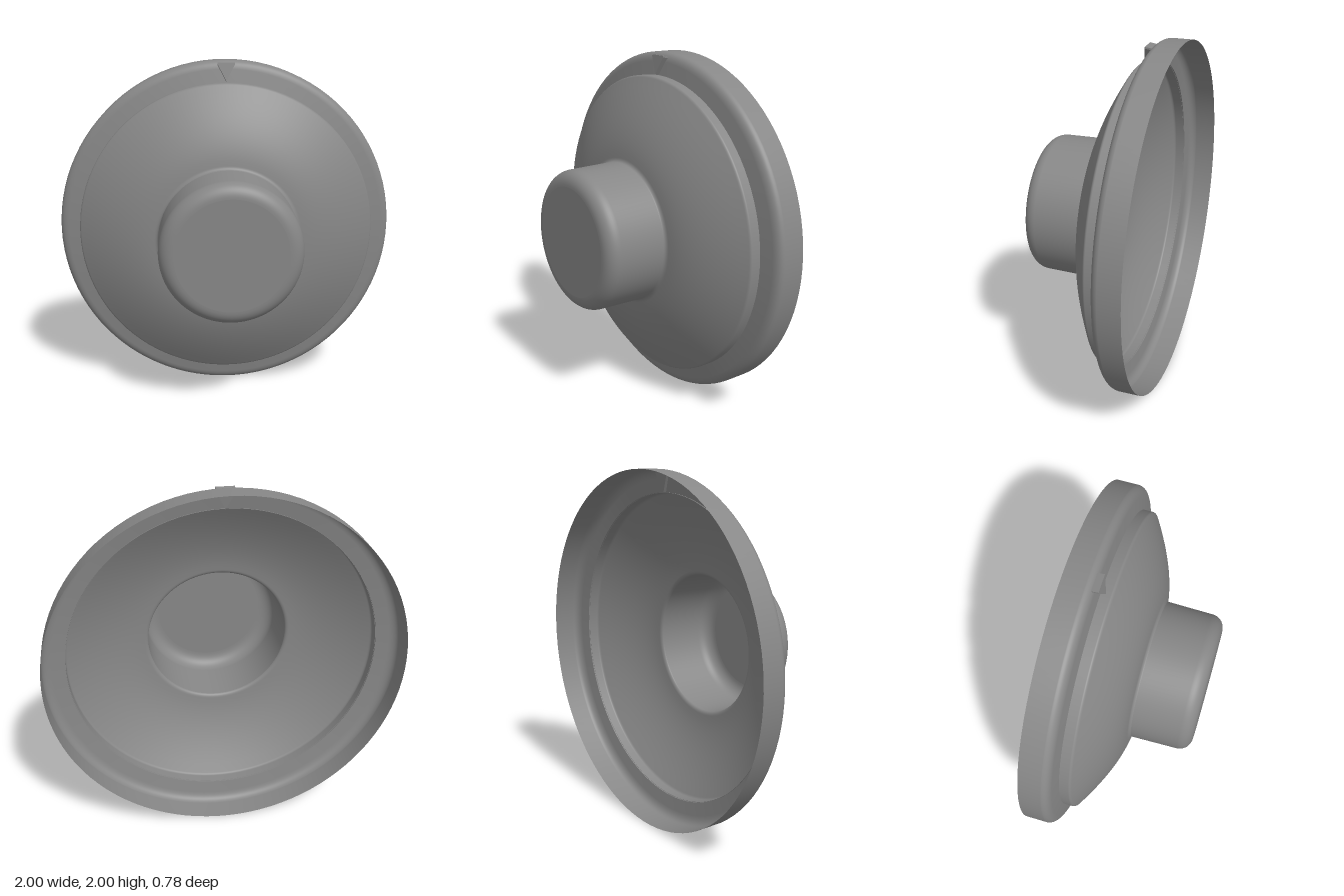
import * as THREE from 'three';

const SEGMENTS = 96;

export function createModel() {
  const group = new THREE.Group();
  const material = new THREE.MeshStandardMaterial({ color: 0x878787, side: THREE.DoubleSide });

  // Turns a profile of (radius, z) points about the z axis, centred at height 1.
  function turned(name, path) {
    const geometry = new THREE.LatheGeometry(path.getPoints(12), SEGMENTS);
    geometry.rotateX(Math.PI / 2);
    const mesh = new THREE.Mesh(geometry, material);
    mesh.name = name;
    mesh.position.y = 1;
    group.add(mesh);
  }
  const from = (r, z) => new THREE.Path().moveTo(r, z);

  // Outer rim: straight wall rolling over into a shallow front lip
  turned('outerRim', from(1, -0.39).lineTo(1, -0.27)
    .quadraticCurveTo(0.995, -0.235, 0.95, -0.226).lineTo(0.873, -0.212));

  // Flared dome, its edge turning softly into the step down to the rim
  turned('dome', from(0.875, -0.218).lineTo(0.875, -0.163)
    .quadraticCurveTo(0.875, -0.153, 0.862, -0.146)
    .quadraticCurveTo(0.61, 0.01, 0.43, 0.03)
    .quadraticCurveTo(0.41, 0.032, 0.405, 0.045));

  // Hollow knob with a rounded front edge and a flat face
  turned('knobWall', from(0.405, 0.045).lineTo(0.4, 0.31)
    .bezierCurveTo(0.399, 0.355, 0.365, 0.388, 0.315, 0.388));
  turned('knobFace', from(0.315, 0.388).lineTo(0, 0.388));

  // Pointer: a small triangular wedge set through the lip, leaning back with it
  const triangle = new THREE.Shape([
    new THREE.Vector2(0, 0),
    new THREE.Vector2(0.05, 0.096),
    new THREE.Vector2(0.05, 0.105),
    new THREE.Vector2(-0.05, 0.105),
    new THREE.Vector2(-0.05, 0.096),
  ]);
  const pointer = new THREE.Mesh(
    new THREE.ExtrudeGeometry(triangle, { depth: 0.046, bevelEnabled: false }), material);
  pointer.name = 'pointer';
  pointer.position.set(0, 1.876, -0.231);
  pointer.rotation.x = -0.15;
  group.add(pointer);

  return group;
}
